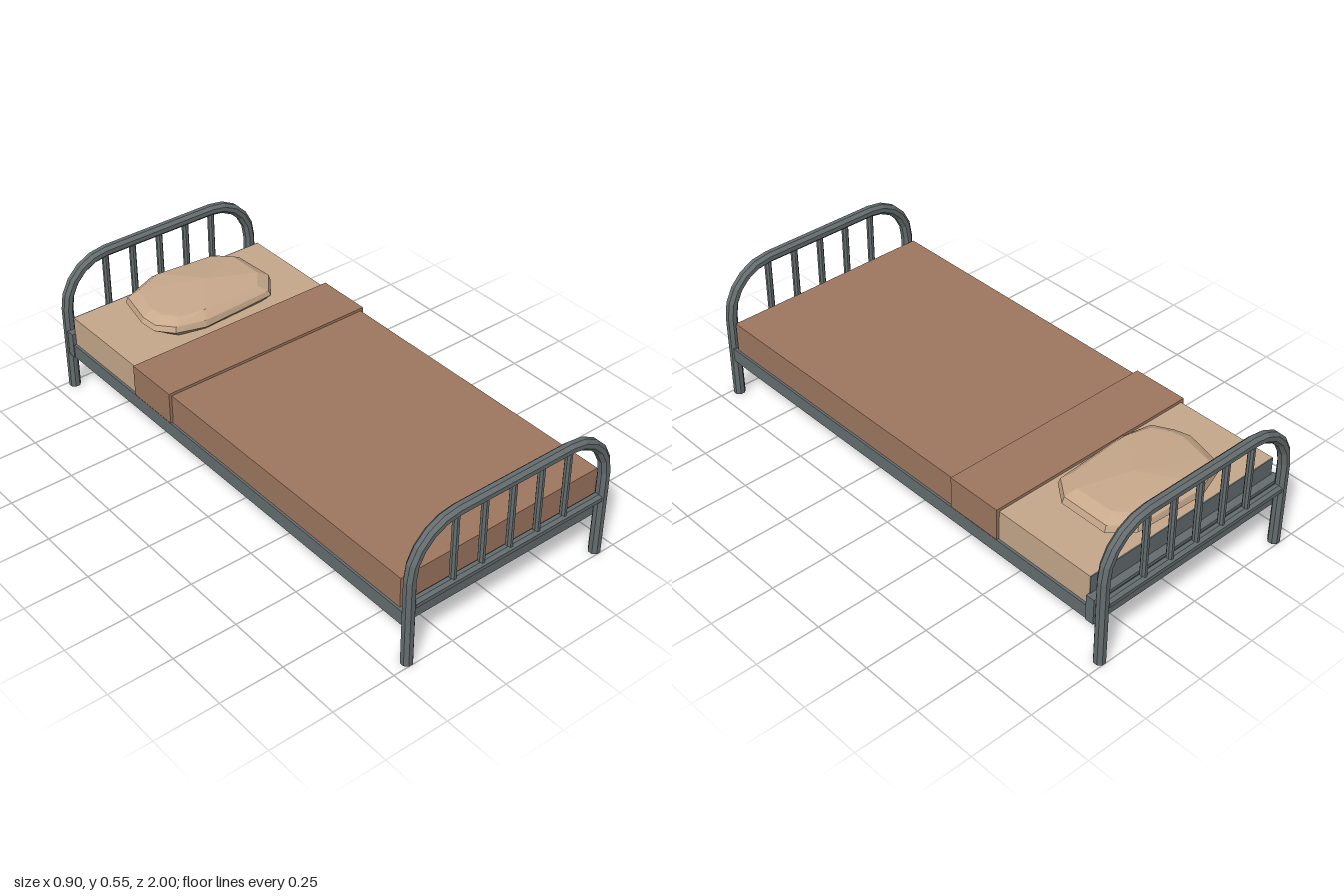
import * as THREE from 'three';
import { ConvexGeometry } from 'three/addons/geometries/ConvexGeometry.js';

const metal = new THREE.MeshStandardMaterial({ color: 0x666e70 });
metal.name = 'grey metal';
const wool = new THREE.MeshStandardMaterial({ color: 0x9f7861 });
wool.name = 'brown blanket';
const linen = new THREE.MeshStandardMaterial({ color: 0xc8a98c });
linen.name = 'tan linen';

const SIDES = 8;

function add(parent, name, geometry, material) {
  const mesh = new THREE.Mesh(geometry, material);
  mesh.name = name;
  parent.add(mesh);
  return mesh;
}

// Box given by its lower and upper limits on each axis
function box(parent, name, [x0, x1], [y0, y1], [z0, z1], material) {
  const mesh = add(parent, name, new THREE.BoxGeometry(x1 - x0, y1 - y0, z1 - z0), material);
  mesh.position.set((x0 + x1) / 2, (y0 + y1) / 2, (z0 + z1) / 2);
  return mesh;
}

function flat(geometry) {
  const g = geometry.index ? geometry.toNonIndexed() : geometry;
  g.computeVertexNormals();
  return g;
}

// Straight eight-sided rod with a flat side to the front
function rod(radius, length) {
  return flat(new THREE.CylinderGeometry(radius, radius, length, SIDES).rotateY(Math.PI / SIDES));
}

// Legs and rounded top in one bent tube, swept from the right foot to the left foot
function archGeometry() {
  const r = 0.0225, bend = 0.184, cx = 0.245, cy = 0.35, steps = 5;
  const half = [[cx + bend, 0, 0]];
  for (let i = 0; i <= steps; i++) {
    const a = (i / steps) * Math.PI / 2;
    half.push([cx + bend * Math.cos(a), cy + bend * Math.sin(a), a]);
  }
  const path = [...half, ...half.map(([x, y, a]) => [-x, y, Math.PI - a]).reverse()];
  const pos = [], index = [];
  for (const [x, y, a] of path) {
    for (let k = 0; k < SIDES; k++) {
      const t = ((k + 0.5) / SIDES) * Math.PI * 2;
      const out = r * Math.cos(t);
      pos.push(x + out * Math.cos(a), y + out * Math.sin(a), r * Math.sin(t));
    }
  }
  for (let i = 0; i < path.length - 1; i++) {
    for (let k = 0; k < SIDES; k++) {
      const a = i * SIDES + k, b = i * SIDES + (k + 1) % SIDES;
      index.push(a, a + SIDES, b, b, a + SIDES, b + SIDES);
    }
  }
  // Foot caps
  const last = (path.length - 1) * SIDES;
  for (let k = 1; k < SIDES - 1; k++) {
    index.push(0, k, k + 1, last, last + k + 1, last + k);
  }
  const g = new THREE.BufferGeometry();
  g.setAttribute('position', new THREE.Float32BufferAttribute(pos, 3));
  g.setIndex(index);
  return flat(g);
}

function endFrame(name, z) {
  const group = new THREE.Group();
  group.name = name;
  add(group, 'archedTube', archGeometry(), metal);
  const rail = add(group, 'crossRail', flat(rod(0.02, 0.83).rotateZ(Math.PI / 2)), metal);
  rail.position.y = 0.244;
  for (let i = -2; i <= 2; i++) {
    const bar = add(group, 'uprightBar', rod(0.0135, 0.275), metal);
    bar.position.set(i * 0.123, 0.387, 0);
  }
  group.position.z = z;
  return group;
}

// Faceted pillow: hull of shrinking copies of one irregular outline
function pillowGeometry() {
  const outline = [[-0.278, -0.7], [-0.24, -0.865], [-0.09, -0.92], [0.2, -0.905], [0.275, -0.83],
    [0.28, -0.64], [0.215, -0.555], [-0.1, -0.537], [-0.22, -0.565], [-0.268, -0.635]];
  const rings = [[0.33, 0.86], [0.36, 1], [0.383, 0.97], [0.406, 0.82]];
  const points = [new THREE.Vector3(0.04, 0.421, -0.73)];
  for (const [y, s] of rings) {
    outline.forEach(([x, z], i) => {
      const wobble = 0.004 * Math.sin(i * 2.3 + y * 40);
      points.push(new THREE.Vector3(x * s, y + (y > 0.34 ? wobble : 0), -0.73 + (z + 0.73) * s));
    });
  }
  return new ConvexGeometry(points);
}

export function createModel() {
  const bed = new THREE.Group();
  bed.name = 'bed';

  // Metal frame
  bed.add(endFrame('headboard', -0.979), endFrame('footboard', 0.979));
  box(bed, 'bedBase', [-0.445, 0.445], [0.16, 0.216], [-0.96, 0.965], metal);
  box(bed, 'headRail', [-0.449, 0.449], [0.16, 0.264], [-0.961, -0.926], metal);
  box(bed, 'mattressBackPlate', [-0.435, 0.435], [0.216, 0.335], [-0.93, -0.925], metal);

  // Bedding
  box(bed, 'mattress', [-0.435, 0.435], [0.216, 0.335], [-0.925, -0.4], linen);
  box(bed, 'blanket', [-0.436, 0.436], [0.216, 0.336], [-0.4, 0.945], wool);
  box(bed, 'blanketFold', [-0.447, 0.447], [0.22, 0.347], [-0.51, -0.285], wool);
  add(bed, 'pillow', pillowGeometry(), linen);

  return bed;
}
